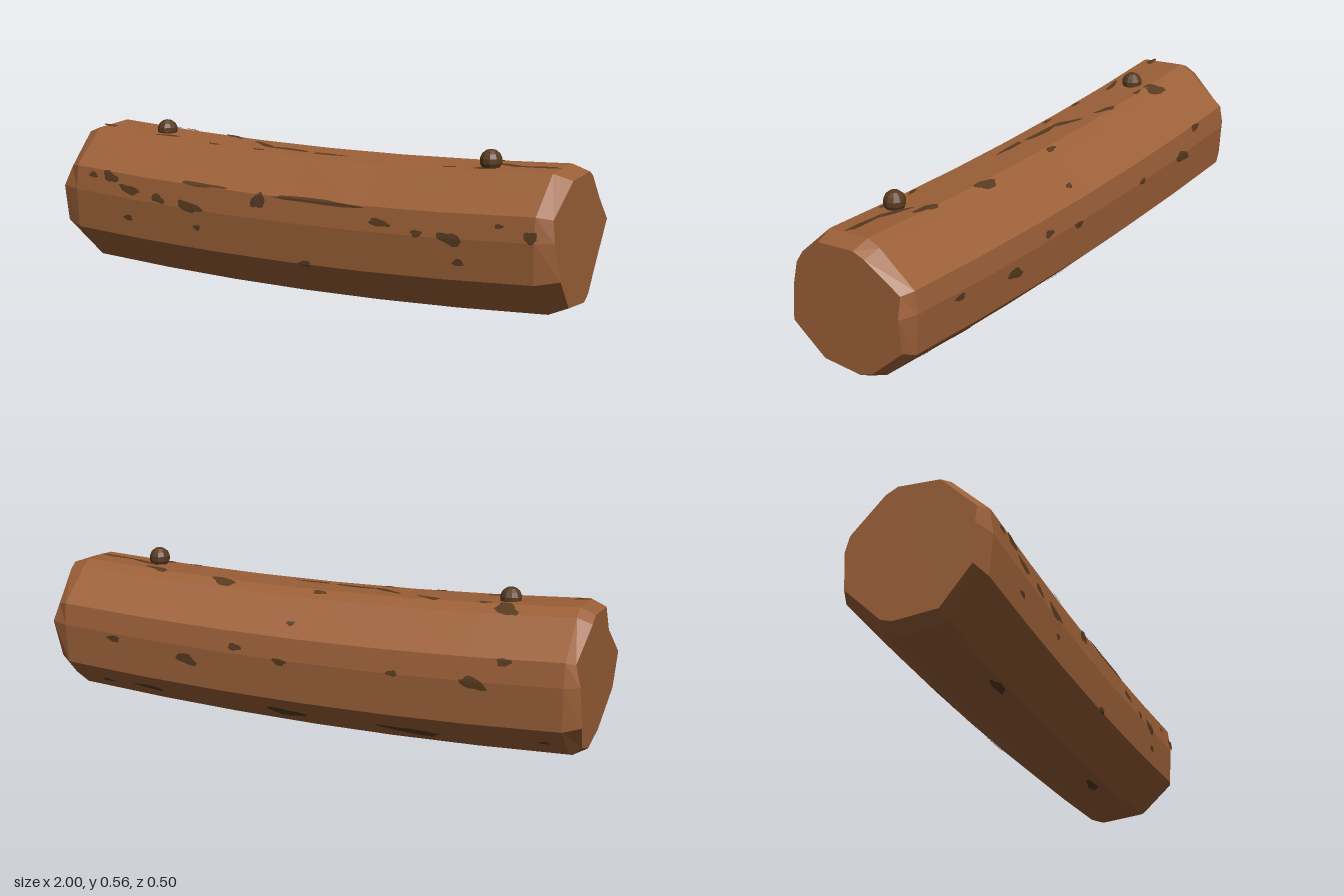
import * as THREE from 'three';

// Cross-section corners [z, y] around the log's centre line, from the top over the front
const SECTION = [
  [0.105, 0.238], [0.235, 0.115], [0.245, 0.03], [0.235, -0.11], [0.11, -0.235], [-0.055, -0.25],
  [-0.105, -0.23], [-0.232, -0.11], [-0.245, 0.04], [-0.235, 0.12], [-0.1, 0.228], [-0.055, 0.25],
];
const N = SECTION.length;
// Ragged reach of each corner at the two cut ends
const LEFT_END = [0.975, 0.965, 1.0, 0.99, 0.97, 0.97, 0.96, 0.98, 0.97, 0.95, 0.97, 0.97];
const RIGHT_END = [0.985, 0.97, 0.98, 1.0, 0.985, 0.98, 0.975, 0.96, 0.985, 0.96, 0.98, 0.985];

// Places a section point on the bent, slightly tapering log
function place(x, z, y, grow = 1) {
  const bend = 0.252 + 0.036 * x * x;
  return new THREE.Vector3(x, bend + y * grow * (1 - 0.035 * x), z * grow * (1 - 0.02 * x) - 0.003);
}

// Point of the bark at x and angle a (0 = top, 90 degrees = front), lifted slightly
function onBark(x, a, lift) {
  const dz = Math.sin(a), dy = Math.cos(a);
  let r = 0.25;
  for (let j = 0; j < N; j++) {
    const [z0, y0] = SECTION[j], [z1, y1] = SECTION[(j + 1) % N];
    const ez = z1 - z0, ey = y1 - y0;
    const det = dz * ey - dy * ez;
    const t = (z0 * ey - y0 * ez) / det;
    const s = (z0 * dy - y0 * dz) / det;
    if (t > 0 && s >= -1e-6 && s <= 1 + 1e-6) r = t;
  }
  return place(x, dz * (r + lift), dy * (r + lift));
}

// Faceted geometry from a list of triangle corners
function faceted(points) {
  const g = new THREE.BufferGeometry().setFromPoints(points);
  g.computeVertexNormals();
  return g;
}

function barkGeometry() {
  const rings = [-0.92, -0.6, -0.3, 0, 0.3, 0.6, 0.92].map(x => SECTION.map(([z, y]) => place(x, z, y)));
  rings.unshift(SECTION.map(([z, y], j) => place(-LEFT_END[j], z, y, 0.9)));
  rings.push(SECTION.map(([z, y], j) => place(RIGHT_END[j], z, y, 0.9)));
  const tris = [];
  for (let i = 0; i < rings.length - 1; i++) {
    for (let j = 0; j < N; j++) {
      const k = (j + 1) % N;
      const a = rings[i][j], b = rings[i + 1][j], c = rings[i + 1][k], d = rings[i][k];
      tris.push(a, d, c, a, c, b);
    }
  }
  return { geometry: faceted(tris), left: rings[0], right: rings[rings.length - 1] };
}

// Cut face, shaded as one even plane
function capGeometry(ring, side) {
  const centre = place(side * 0.975, 0, 0);
  const tris = [];
  for (let j = 0; j < N; j++) {
    const a = ring[j], b = ring[(j + 1) % N];
    tris.push(centre, ...(side > 0 ? [a, b] : [b, a]));
  }
  const g = faceted(tris);
  for (let i = 0; i < tris.length; i++) g.attributes.normal.setXYZ(i, side, 0, 0);
  return g;
}

// Irregular patch that follows the bark
function patchGeometry(x, angle, length, height, tilt, seed) {
  const SIDES = 14, RINGS = 3, tris = [];
  const at = (ring, i) => {
    const th = (i / SIDES) * Math.PI * 2;
    const r = (ring / RINGS) * (1 + 0.16 * Math.sin(3 * th + seed) + 0.1 * Math.sin(5 * th + seed * 2.3));
    const u = Math.cos(th) * r * length / 2;
    const v = Math.sin(th) * r * height / 2 + u * tilt;
    return onBark(THREE.MathUtils.clamp(x + u, -0.93, 0.93), angle + v / 0.25, 0.004);
  };
  for (let i = 0; i < SIDES; i++) {
    tris.push(at(0, 0), at(1, i + 1), at(1, i));
    for (let r = 1; r < RINGS; r++) {
      const a = at(r, i), b = at(r + 1, i), c = at(r + 1, i + 1), d = at(r, i + 1);
      tris.push(a, d, c, a, c, b);
    }
  }
  return faceted(tris);
}

// Patches on each side: [x, y or z, length, height, tilt]
const FRONT = [
  [-0.84, 0.37, 0.04, 0.02, 0], [-0.76, 0.37, 0.07, 0.035, 0.2], [-0.67, 0.33, 0.09, 0.03, 0.1],
  [-0.68, 0.23, 0.04, 0.02, 0], [-0.54, 0.31, 0.06, 0.03, 0.2], [-0.4, 0.295, 0.11, 0.035, 0.1],
  [-0.37, 0.225, 0.03, 0.02, 0], [-0.11, 0.345, 0.06, 0.05, -0.2], [0.37, 0.32, 0.08, 0.025, 0.1],
  [0.51, 0.3, 0.04, 0.025, 0], [0.63, 0.295, 0.09, 0.04, 0.2], [0.66, 0.22, 0.04, 0.025, 0],
  [0.8, 0.355, 0.03, 0.015, 0], [0.91, 0.33, 0.05, 0.04, 0], [0.08, 0.145, 0.05, 0.02, 0],
  [0.12, 0.368, 0.34, 0.018, 0.02], [-0.35, 0.38, 0.2, 0.015, 0],
];
const TOP = [
  [-0.68, -0.08, 0.08, 0.06, 0.3], [-0.6, -0.05, 0.05, 0.015, 0], [-0.4, -0.04, 0.09, 0.025, 0.3],
  [-0.4, 0.09, 0.05, 0.015, 0], [-0.23, 0.015, 0.11, 0.03, 0.5], [-0.11, 0.037, 0.18, 0.025, 0.05],
  [0.06, 0.05, 0.14, 0.02, 0], [-0.21, 0.085, 0.05, 0.015, 0], [-0.01, -0.07, 0.05, 0.02, 0],
  [0.36, -0.07, 0.09, 0.04, 0.2], [0.64, -0.045, 0.1, 0.03, 0.2], [0.72, 0.015, 0.12, 0.025, 0.3],
  [0.84, 0.035, 0.17, 0.022, 0], [0.67, 0.08, 0.08, 0.025, 0], [0.55, 0.085, 0.05, 0.015, -0.2],
  [-0.9, 0.065, 0.06, 0.025, 0], [-0.62, 0.07, 0.1, 0.02, -0.2],
];
// [x, angle in degrees, length, height, tilt]
const BACK = [
  [0.72, -85, 0.05, 0.025, 0], [0.43, -92, 0.08, 0.04, 0.2], [0.24, -75, 0.05, 0.025, 0],
  [0.07, -82, 0.05, 0.025, 0.1], [-0.34, -80, 0.04, 0.02, 0], [-0.62, -82, 0.09, 0.04, 0.2],
  [-0.72, -65, 0.05, 0.025, 0], [0.05, -50, 0.03, 0.02, 0], [0.62, -135, 0.11, 0.035, 0.1],
  [0.8, -138, 0.05, 0.02, 0], [0.08, -137, 0.15, 0.05, 0.1], [-0.38, -140, 0.22, 0.04, 0.1],
  [-0.85, -135, 0.04, 0.02, 0], [0.45, 165, 0.12, 0.03, 0.1], [-0.5, 160, 0.1, 0.03, 0],
];

export function createModel() {
  const barkBrown = new THREE.MeshStandardMaterial({ color: 0x9c6038 });
  barkBrown.name = 'barkBrown';
  const darkBrown = new THREE.MeshStandardMaterial({ color: 0x583a20 });
  darkBrown.name = 'darkBrown';

  const model = new THREE.Group();
  model.name = 'log';
  const add = (parent, name, geometry, material) => {
    const mesh = new THREE.Mesh(geometry, material);
    mesh.name = name;
    parent.add(mesh);
    return mesh;
  };

  // Trunk and its two cut ends
  const bark = barkGeometry();
  add(model, 'trunk', bark.geometry, barkBrown);
  add(model, 'rightCutEnd', capGeometry(bark.left, -1), barkBrown);
  add(model, 'leftCutEnd', capGeometry(bark.right, 1), barkBrown);

  // Dark bark patches
  const patches = new THREE.Group();
  patches.name = 'barkPatches';
  model.add(patches);
  const all = [
    ...FRONT.map(([x, y, ...rest]) => [x, Math.atan2(0.24, y - 0.252 - 0.036 * x * x), ...rest]),
    ...TOP.map(([x, z, ...rest]) => [x, Math.atan2(z, 0.24), ...rest]),
    ...BACK.map(([x, deg, ...rest]) => [x, THREE.MathUtils.degToRad(deg), ...rest]),
  ];
  all.forEach((p, i) => add(patches, 'barkPatch', patchGeometry(...p, i * 1.7), darkBrown));

  // Round knots on top
  const knotGeometry = new THREE.SphereGeometry(0.038, 10, 7).toNonIndexed();
  knotGeometry.computeVertexNormals();
  for (const [x, z] of [[-0.67, 0.01], [0.68, 0.045]]) {
    add(model, 'knot', knotGeometry, darkBrown).position.set(x, 0.528, z);
  }
  return model;
}
